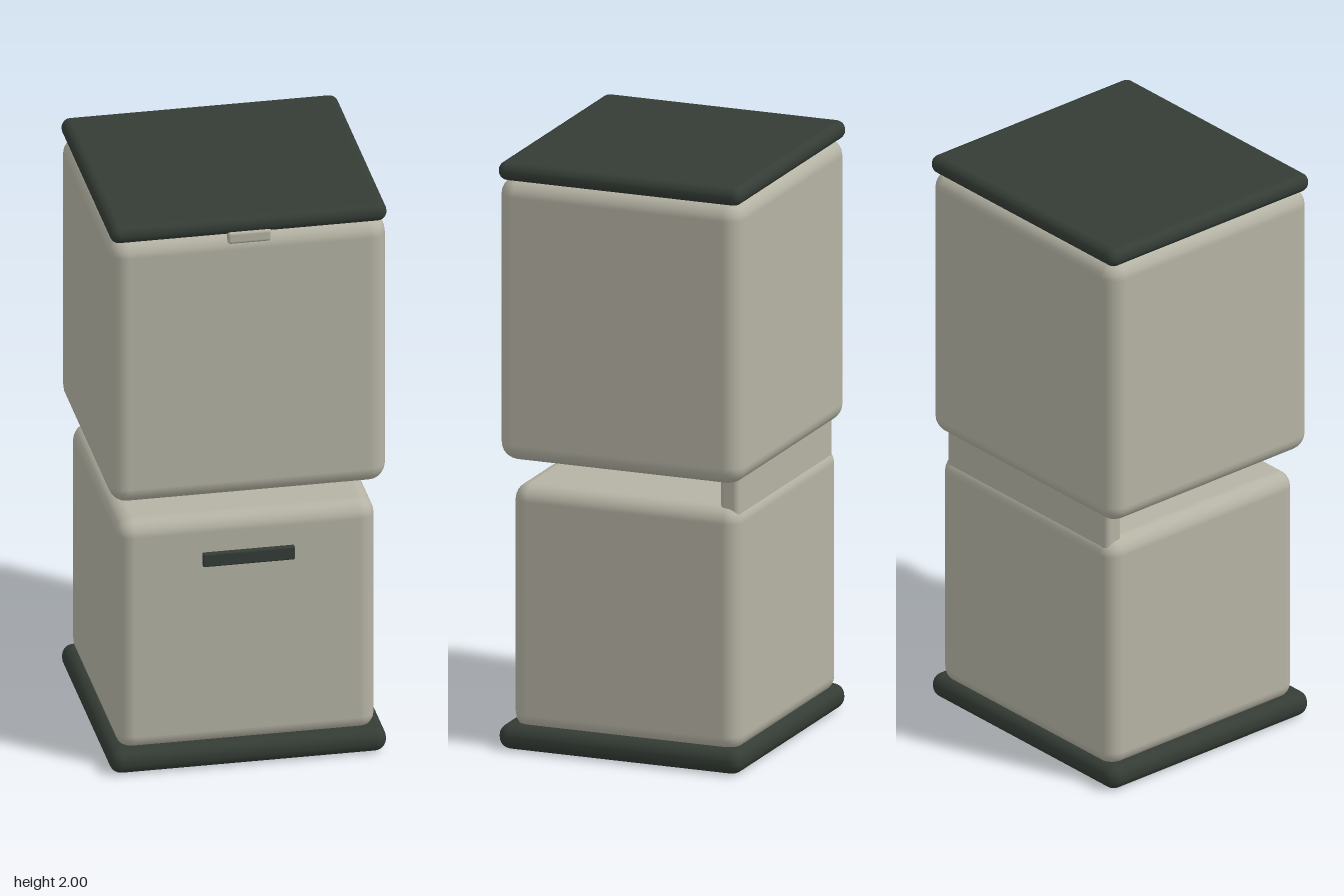
import * as THREE from 'three';
import { RoundedBoxGeometry } from 'three/addons/geometries/RoundedBoxGeometry.js';

export function createModel() {
  const model = new THREE.Group();
  model.name = 'stackedUnit';

  const stone = new THREE.MeshStandardMaterial({ name: 'warm stone', color: 0xb5b3a4 });
  const dark = new THREE.MeshStandardMaterial({ name: 'dark green grey', color: 0x343c35 });

  // Rounded box given by its extents along each axis
  function block(name, material, [x0, x1], [y0, y1], [z0, z1], radius, segments = 3) {
    const geometry = new RoundedBoxGeometry(x1 - x0, y1 - y0, z1 - z0, segments, radius);
    const mesh = new THREE.Mesh(geometry, material);
    mesh.name = name;
    mesh.position.set((x0 + x1) / 2, (y0 + y1) / 2, (z0 + z1) / 2);
    model.add(mesh);
  }

  // Base plate and lid
  block('base', dark, [-0.462, 0.462], [0, 0.085], [-0.432, 0.432], 0.04);
  block('lid', dark, [-0.462, 0.462], [1.936, 2], [-0.432, 0.432], 0.031);

  // Lower and upper compartments
  block('lowerBody', stone, [-0.431, 0.431], [0.065, 0.9], [-0.414, 0.393], 0.055);
  block('upperBody', stone, [-0.462, 0.462], [0.983, 1.945], [-0.432, 0.432], 0.06);

  // Rear spine joining the compartments
  block('rearSpine', stone, [-0.402, 0.402], [0.82, 1.06], [-0.405, -0.336], 0.02);

  // Drawer handle and lid catch
  block('handle', dark, [-0.154, 0.154], [0.732, 0.78], [0.402, 0.423], 0.006, 2);
  block('lidCatch', stone, [-0.073, 0.073], [1.907, 1.95], [0.404, 0.434], 0.01, 2);

  return model;
}
